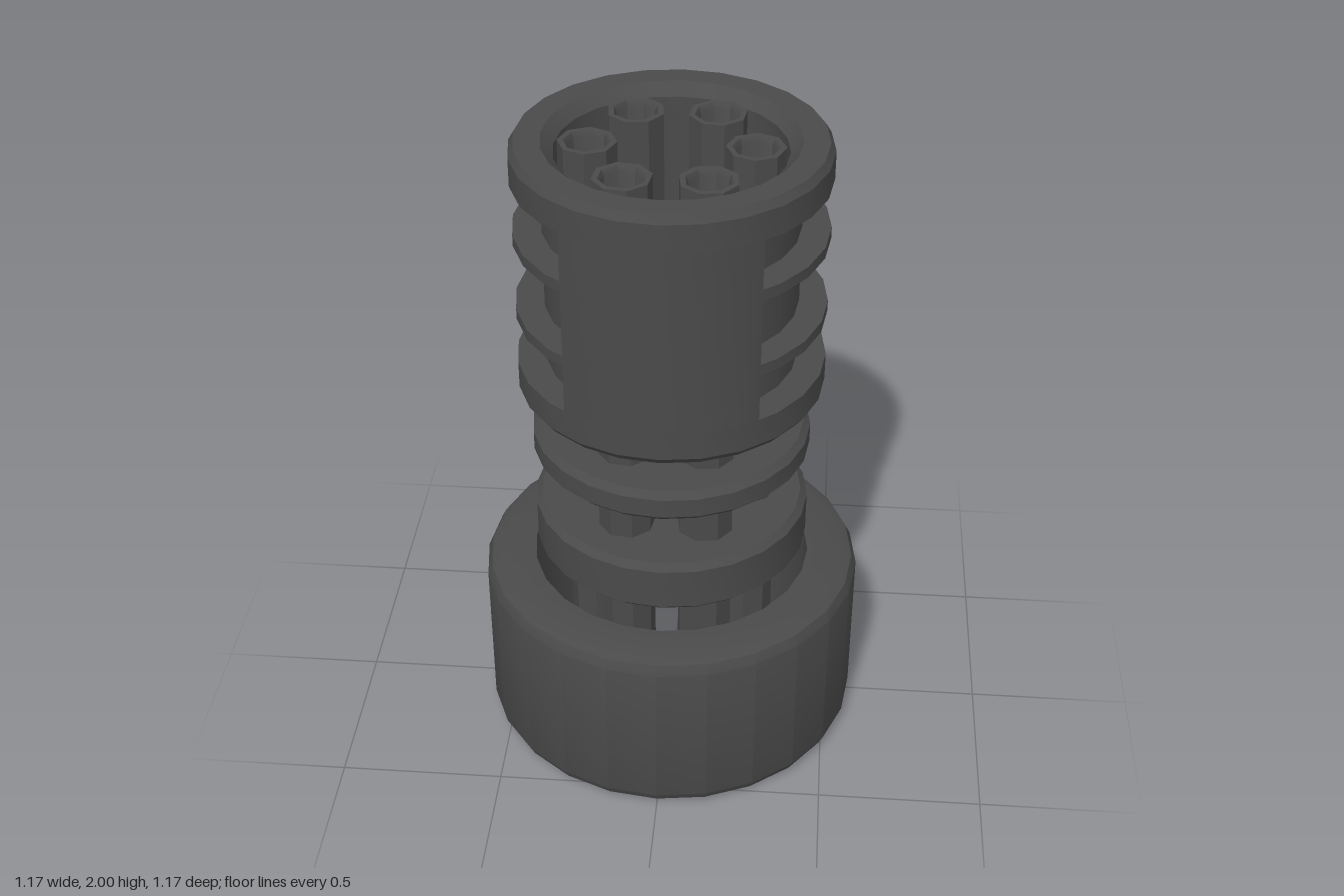
import * as THREE from 'three';
import { toCreasedNormals } from 'three/addons/utils/BufferGeometryUtils.js';

const material = new THREE.MeshStandardMaterial({ color: 0x4a4a4a });
const SIDES = 24;

function part(parent, name, geometry) {
  const mesh = new THREE.Mesh(toCreasedNormals(geometry, 0.5), material);
  mesh.name = name;
  parent.add(mesh);
  return mesh;
}

// Revolve a profile of [radius, height] pairs running up the outside
function lathe(profile, sides = SIDES) {
  return new THREE.LatheGeometry(profile.map(([r, y]) => new THREE.Vector2(r, y)), sides);
}

// Hollow ring with square edges
function ring(inner, outer, y0, y1) {
  return lathe([[inner, y0], [outer, y0], [outer, y1], [inner, y1], [inner, y0]]);
}

// Solid disc with bevelled rims
function disc(r, y0, y1, b) {
  return lathe([[0, y0], [r - b, y0], [r, y0 + b], [r, y1 - b], [r - b, y1], [0, y1]]);
}

// Upright ring sector whose facets line up with the lathed bands
function sector(inner, outer, y0, y1) {
  const angles = [52.5, 60, 75, 90, 105, 120, 127.5];
  const point = (r, a) => {
    const k = a % 15 ? r * Math.cos(Math.PI / SIDES) : r;
    const t = THREE.MathUtils.degToRad(a);
    return new THREE.Vector2(k * Math.cos(t), k * Math.sin(t));
  };
  const outline = [
    ...angles.map((a) => point(outer, a)),
    ...angles.slice().reverse().map((a) => point(inner, a)),
  ];
  const g = new THREE.ExtrudeGeometry(new THREE.Shape(outline), { depth: y1 - y0, bevelEnabled: false });
  return g.rotateX(-Math.PI / 2).translate(0, y0, 0);
}

export function createModel() {
  const model = new THREE.Group();
  model.name = 'rotaryBarrelAssembly';

  // Wide open collar at the bottom
  part(model, 'baseCollar', lathe([
    [0.43, 0], [0.54, 0], [0.57, 0.015], [0.585, 0.045], [0.585, 0.535], [0.57, 0.565],
    [0.535, 0.58], [0.43, 0.58], [0.43, 0],
  ]));

  // Discs clamping the barrels
  part(model, 'lowerClamp', disc(0.42, 0.645, 0.815, 0.02));
  part(model, 'upperClamp', disc(0.42, 0.98, 1.08, 0.02));

  // Slotted shroud: end bands, sleeve, solid walls and thin ribs
  const shroud = new THREE.Group();
  shroud.name = 'shroud';
  model.add(shroud);
  part(shroud, 'shroudBottomBand', lathe([
    [0.33, 1.205], [0.435, 1.205], [0.455, 1.23], [0.455, 1.315], [0.33, 1.315], [0.33, 1.205],
  ]));
  part(shroud, 'shroudTopBand', lathe([
    [0.33, 1.89], [0.455, 1.89], [0.455, 1.975], [0.44, 2], [0.365, 2], [0.33, 1.965], [0.33, 1.89],
  ]));
  part(shroud, 'shroudSleeve', ring(0.33, 0.37, 1.31, 1.895));
  for (const turn of [0, Math.PI]) {
    part(shroud, 'shroudWall', sector(0.35, 0.455, 1.315, 1.89)).rotation.y = turn;
  }
  for (const y of [1.48, 1.72]) {
    part(shroud, 'shroudRib', ring(0.36, 0.453, y - 0.017, y + 0.017));
  }

  // Six eight-sided barrels with recessed bores
  const barrelProfile = [
    [0, 0.27], [0.085, 0.27], [0.085, 1.98], [0.068, 1.98], [0.06, 1.965], [0.06, 1.5], [0, 1.5],
  ];
  for (let i = 0; i < 6; i++) {
    const a = (i * Math.PI) / 3;
    const barrel = part(model, 'barrel', lathe(barrelProfile, 8));
    barrel.position.set(0.235 * Math.cos(a), 0, -0.235 * Math.sin(a));
    barrel.rotation.y = a;
  }
  return model;
}
